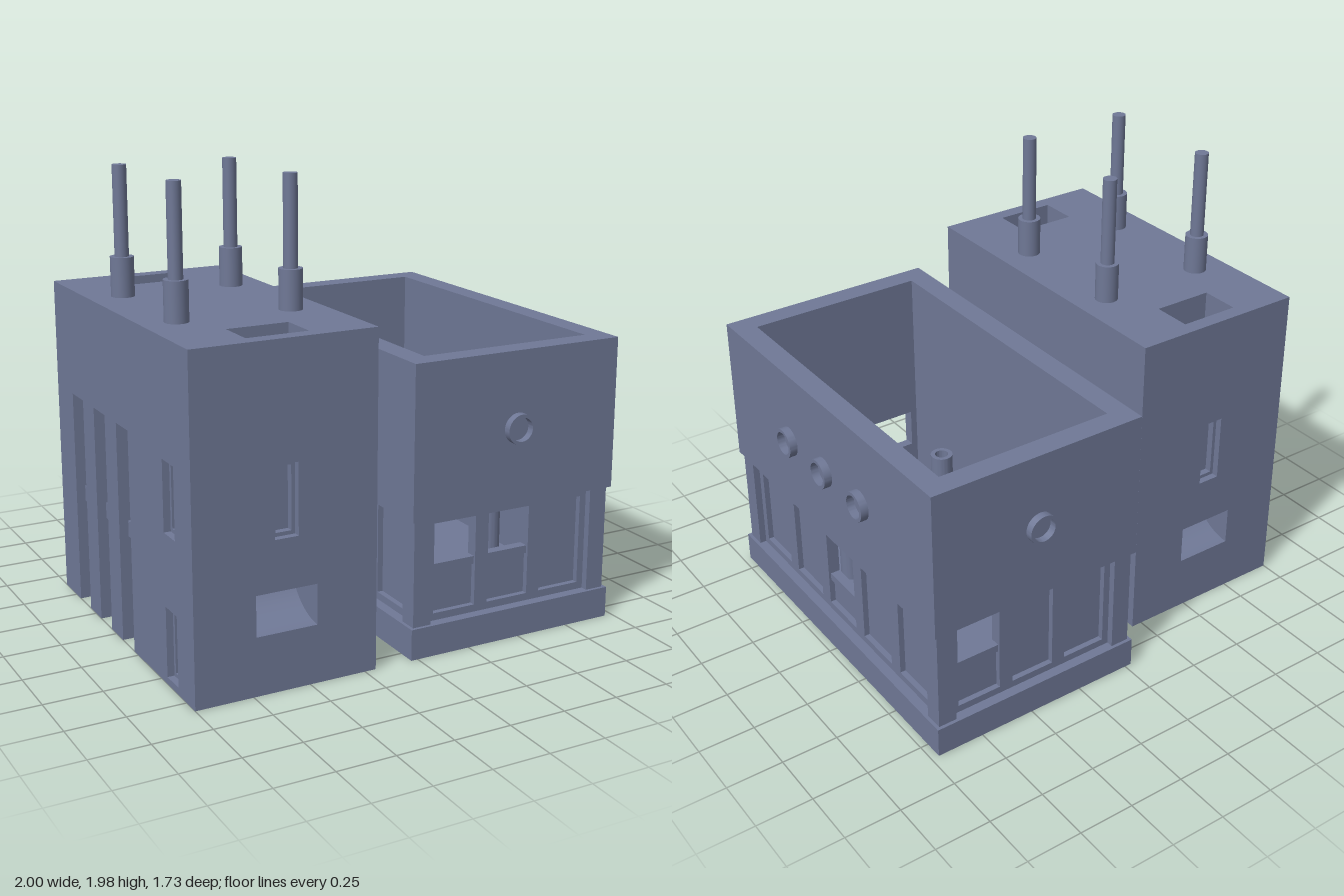
import * as THREE from 'three';
import { toCreasedNormals } from 'three/addons/utils/BufferGeometryUtils.js';

const material = new THREE.MeshStandardMaterial({ color: 0x6f7896 });

function add(parent, name, geometry) {
  const mesh = new THREE.Mesh(geometry, material);
  mesh.name = name;
  parent.add(mesh);
  return mesh;
}

function box(parent, name, x0, x1, y0, y1, z0, z1) {
  add(parent, name, new THREE.BoxGeometry(x1 - x0, y1 - y0, z1 - z0))
    .position.set((x0 + x1) / 2, (y0 + y1) / 2, (z0 + z1) / 2);
}

const rect = (P, u0, u1, y0, y1) =>
  new P([[u0, y0], [u1, y0], [u1, y1], [u0, y1]].map(p => new THREE.Vector2(...p)));

// Extrude an outline: along z (outline is x,y) or along x (outline is z,y)
function slab(parent, name, shape, axis, from, to) {
  const g = new THREE.ExtrudeGeometry(shape, { depth: to - from, bevelEnabled: false, curveSegments: 24 });
  if (axis === 'x') g.rotateY(-Math.PI / 2).translate(to, 0, 0);
  else g.translate(0, 0, from);
  add(parent, name, toCreasedNormals(g, 0.6));
}

// Range between two depths behind a face whose outward direction is s
const span = (face, s, a, b) => [face - s * a, face - s * b].sort((p, q) => p - q);

// Wall with blind slits that step inwards; outline() gives a fresh shape for each layer
function slitWall(parent, name, outline, axis, face, s, depth, slits) {
  for (const [a, b, inset] of [[0, 0.03, 0], [0.03, 0.06, 0.016]]) {
    const shape = outline();
    for (const [u0, u1, y0, y1] of slits)
      shape.holes.push(rect(THREE.Path, u0 + inset, u1 - inset, y0 + inset, y1 - inset));
    slab(parent, name, shape, axis, ...span(face, s, a, b));
  }
  slab(parent, name, outline(), axis, ...span(face, s, 0.06, depth));
}

// Box whose first pair of numbers runs along the wall and last pair through it
function wallBox(parent, name, axis, u0, u1, y0, y1, d0, d1) {
  if (axis === 'x') box(parent, name, d0, d1, y0, y1, u0, u1);
  else box(parent, name, u0, u1, y0, y1, d0, d1);
}

function cylinder(parent, name, r, x, y0, y1, z) {
  add(parent, name, new THREE.CylinderGeometry(r, r, y1 - y0, 32)).position.set(x, (y0 + y1) / 2, z);
}

function createTower() {
  const tower = new THREE.Group();
  tower.name = 'tower';
  const top = 1.428, zb = -0.636, zf = 0.832, xa = -0.736, xb = -0.468;
  const highSlit = [0.56, 0.67, 0.64, 0.94], lowSlit = [0.56, 0.67, 0.03, 0.33];

  // Slotted outer side, open at the foot
  const slots = [-0.38, -0.12, 0.14], half = 0.065;
  const outer = () => {
    const s = new THREE.Shape().moveTo(zb, 0);
    for (const c of slots)
      s.lineTo(c - half, 0).lineTo(c - half, 0.96).lineTo(c + half, 0.96).lineTo(c + half, 0);
    return s.lineTo(zf, 0).lineTo(zf, top).lineTo(zb, top);
  };
  slitWall(tower, 'slottedSide', outer, 'x', -1, -1, 0.1, [highSlit, lowSlit]);
  for (const c of slots) box(tower, 'slotBar', -0.96, -0.9, 0.46, 0.53, c - half, c + half);
  box(tower, 'rightBody', -0.9, xa, 0, top, zb, zf);

  // Inner side with one slit
  slitWall(tower, 'innerSide', () => rect(THREE.Shape, zb, zf, 0, top), 'x', -0.2, 1, 0.1, [highSlit]);
  box(tower, 'leftBody', xb, -0.3, 0, top, zb, zf);

  // Middle body, cut by two chutes that bend from the roof to the end faces
  const R = 0.239, r = 0.066, cy = 0.489;
  const middle = new THREE.Shape().moveTo(zb, 0).lineTo(zf, 0).lineTo(zf, cy - R)
    .absarc(zf, cy, R, 1.5 * Math.PI, Math.PI, true).lineTo(zf - R, top)
    .lineTo(zb + R, top).absarc(zb, cy, R, 0, -Math.PI / 2, true);
  slab(tower, 'middleBody', middle, 'x', xa, xb);

  // Rounded lip and slit wall in front of each chute
  for (const [end, s] of [[zf, 1], [zb, -1]]) {
    const lip = new THREE.Shape().moveTo(end, cy).lineTo(end - s * r, cy);
    if (s > 0) lip.absarc(end, cy, r, Math.PI, 1.5 * Math.PI, false);
    else lip.absarc(end, cy, r, 0, -Math.PI / 2, true);
    slab(tower, 'chuteLip', lip, 'x', xa, xb);
    slitWall(tower, 'chuteWall', () => rect(THREE.Shape, xa, xb, cy, top), 'z', end, s, r,
      [[-0.652, -0.55, 0.637, 0.937]]);
  }

  // Roof pins
  for (const x of [-0.85, -0.35]) for (const z of [-0.187, 0.383]) {
    cylinder(tower, 'pinSleeve', 0.05, x, top, 1.597, z);
    cylinder(tower, 'pin', 0.03, x, 1.597, 1.98, z);
  }
  return tower;
}

// Ring shape for portholes and sockets
function ringShape(u, y, R, r) {
  const s = new THREE.Shape().absarc(u, y, R, 0, Math.PI * 2);
  s.holes.push(new THREE.Path().absarc(u, y, r, 0, Math.PI * 2, true));
  return s;
}

function createHall() {
  const hall = new THREE.Group();
  hall.name = 'hall';
  const cx = 0.467, hw = 0.498, hd = 0.833, y0 = 0.135, y1 = 0.598, wall = 0.099;
  box(hall, 'base', cx - hw, cx + hw, 0, y0, -hd, hd);

  // Hollow upper storey, open at the top
  const rim = rect(THREE.Shape, cx - hw, cx + hw, -hd, hd);
  rim.holes.push(rect(THREE.Path, cx - hw + wall, cx + hw - wall, -hd + wall, hd - wall));
  const rimGeo = new THREE.ExtrudeGeometry(rim, { depth: 1.26 - y1, bevelEnabled: false });
  add(hall, 'upperWalls', rimGeo.rotateX(-Math.PI / 2).translate(0, y1, 0));

  // Corner posts
  for (const sx of [-1, 1]) for (const sz of [-1, 1]) {
    const x = cx + sx * (hw - 0.057), z = sz * (hd - 0.057);
    box(hall, 'cornerPost', x - 0.042, x + 0.042, y0, y1, z - 0.042, z + 0.042);
  }

  // Lower walls with rows of closed panels and a few open windows
  const low = 0.167, high = 0.562;
  const endCols = [0.2, 0.467, 0.734], sideCols = [-0.5875, -0.294, 0, 0.294, 0.5875];
  const ends = { axis: 'z', at: 0, half: hd, mid: cx, len: hw - wall, cols: endCols, w: 0.1015, sill: 0.347 };
  const sides = { axis: 'x', at: cx, half: hw, mid: 0, len: hd - wall, cols: sideCols, w: 0.1125, sill: 0.284 };
  const walls = [
    { ...ends, s: 1, open: [0, 1] }, { ...ends, s: -1, open: [2] },
    { ...sides, s: 1, open: [2] }, { ...sides, s: -1, open: [2] },
  ];
  for (const { axis, at, s, half, mid, len, cols, w, open, sill } of walls) {
    const face = at + s * half;
    const frame = rect(THREE.Shape, mid - len, mid + len, y0, y1);
    cols.forEach((c, i) => {
      const isOpen = open.includes(i);
      frame.holes.push(rect(THREE.Path, c - w, c + w, low, high));
      wallBox(hall, 'panel', axis, c - w, c + w, low, isOpen ? sill : high, ...span(face, s, 0.07, wall));
      if (isOpen) wallBox(hall, 'sill', axis, c - w, c + w, sill, sill + 0.034, ...span(face, s, 0.055, wall));
    });
    slab(hall, 'panelFrame', frame, axis, ...span(face, s, 0.045, wall));
  }

  // Sockets standing on the floor
  for (const x of [0.215, 0.715]) for (const z of [-0.285, 0.28]) {
    const g = new THREE.ExtrudeGeometry(ringShape(0, 0, 0.05, 0.03),
      { depth: y1 - y0, bevelEnabled: false, curveSegments: 24 });
    add(hall, 'socket', toCreasedNormals(g.rotateX(-Math.PI / 2).translate(x, y0, z), 0.6));
  }

  // Portholes
  for (const z of [-0.294, 0, 0.294])
    slab(hall, 'porthole', ringShape(z, 0.93, 0.066, 0.051), 'x', cx + hw, 1);
  for (const s of [1, -1])
    slab(hall, 'porthole', ringShape(cx, 0.93, 0.066, 0.051), 'z', ...span(s * hd, s, -0.033, 0));
  return hall;
}

export function createModel() {
  const model = new THREE.Group();
  model.name = 'buildingPair';
  model.add(createTower(), createHall());
  return model;
}
